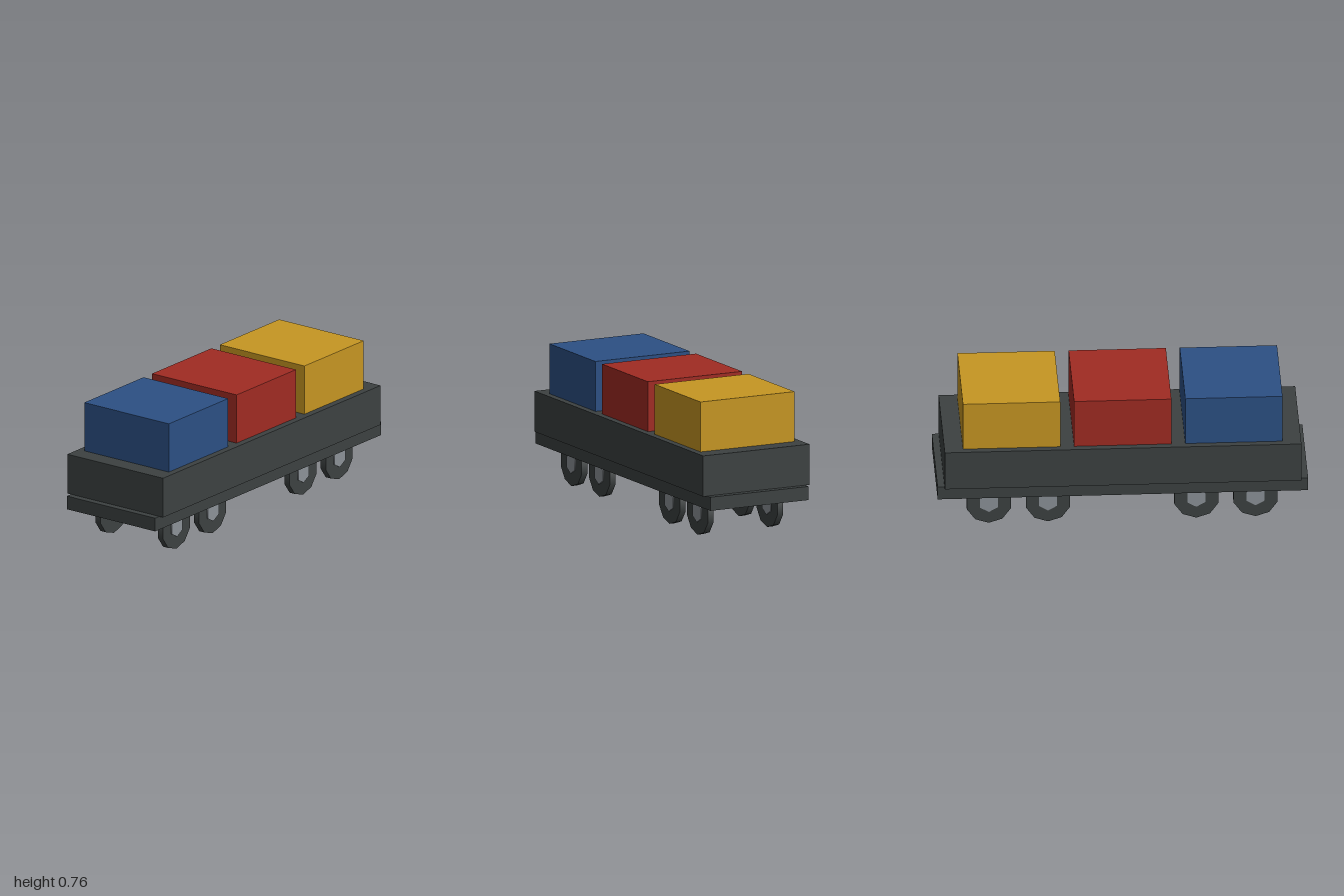
import * as THREE from 'three';

function material(name, color) {
  const m = new THREE.MeshStandardMaterial({ color });
  m.name = name;
  return m;
}

export function createModel() {
  const darkGrey = material('darkGrey', 0x3c4141);
  const steel = material('steel', 0x8c9298);
  const blue = material('blue', 0x2c5084);
  const red = material('red', 0xa02b23);
  const yellow = material('yellow', 0xc69622);

  const model = new THREE.Group();
  model.name = 'flatWagon';

  // Box standing on height y
  function box(name, w, h, d, y, z, mat) {
    const mesh = new THREE.Mesh(new THREE.BoxGeometry(w, h, d), mat);
    mesh.name = name;
    mesh.position.set(0, y + h / 2, z);
    model.add(mesh);
  }

  // Underframe and deck
  box('underframe', 0.6, 0.075, 2, 0.19, 0, darkGrey);
  box('deck', 0.65, 0.224, 1.925, 0.264, 0, darkGrey);

  // Cargo crates, front to back
  [blue, red, yellow].forEach((mat, i) => {
    box(`${mat.name}Crate`, 0.575, 0.275, 0.525, 0.488, 0.6 - 0.6 * i, mat);
  });

  // Disc with its axis along x and a corner pointing down
  const disc = (radius, width, sides) =>
    new THREE.CylinderGeometry(radius, radius, width, sides)
      .rotateY(Math.PI / 2).rotateZ(Math.PI / 2);
  const tyreGeometry = disc(0.125, 0.035, 10);
  const hubGeometry = disc(0.056, 0.045, 6);

  // Four axles of two wheels
  for (const z of [0.72, 0.4, -0.4, -0.72]) {
    for (const side of [-1, 1]) {
      const wheel = new THREE.Group();
      wheel.name = side > 0 ? 'leftWheel' : 'rightWheel';
      const tyre = new THREE.Mesh(tyreGeometry, darkGrey);
      tyre.name = 'wheelRim';
      const hub = new THREE.Mesh(hubGeometry, steel);
      hub.name = 'wheelHub';
      wheel.add(tyre, hub);
      wheel.position.set(side * 0.2125, 0.125, z);
      model.add(wheel);
    }
  }

  return model;
}
